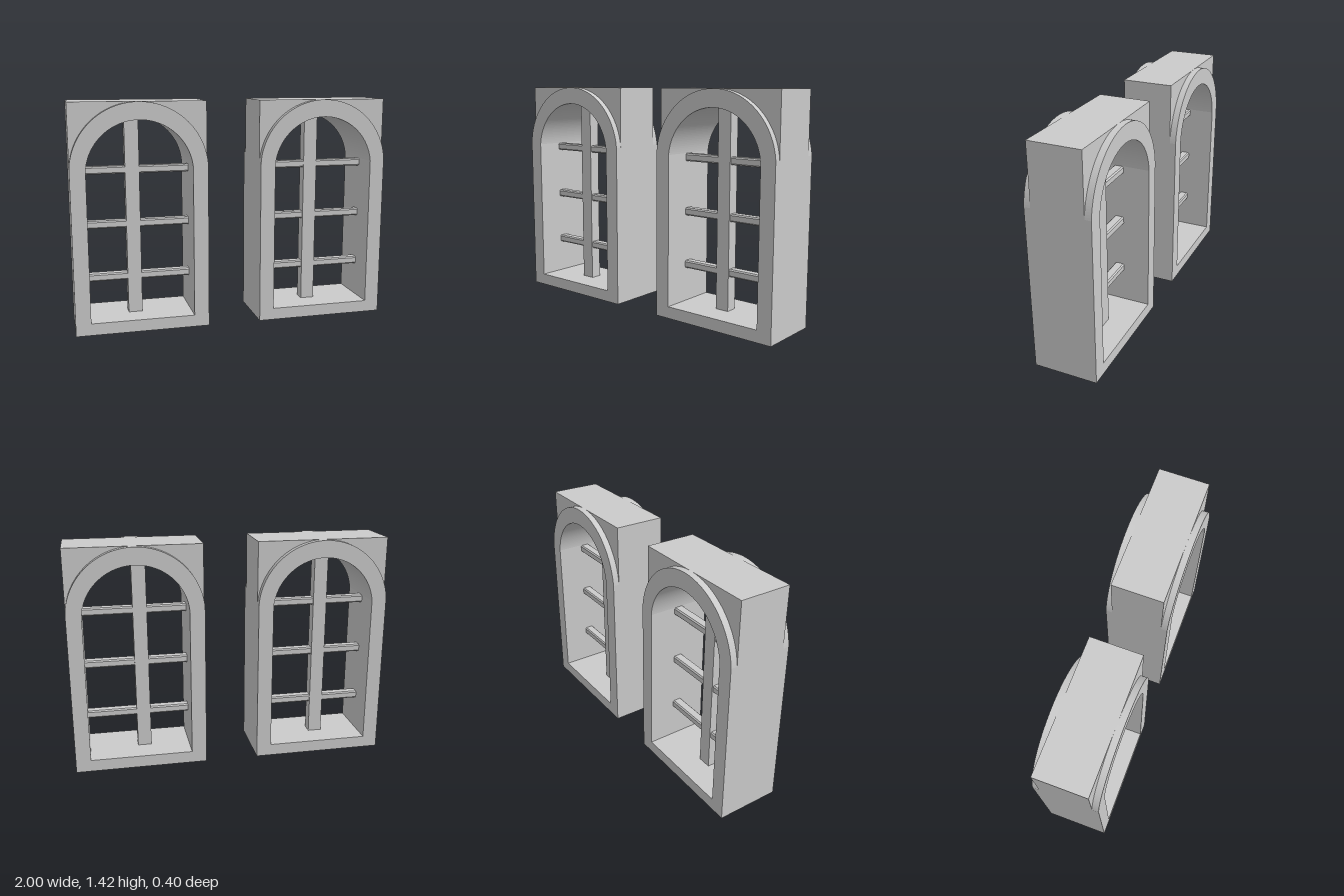
import * as THREE from 'three';

const HALF = 0.416, HEIGHT = 1.417, DEPTH = 0.4, CORE = 0.32;
const INNER = 0.322, SILL = 0.075;

const material = new THREE.MeshStandardMaterial({ color: 0xcccccc, flatShading: true });

// Upright sides closed by a circular arc from the spring line to the crown
function archPath(PathType, half, bottom, spring, crown) {
  const rise = crown - spring;
  const r = (half * half + rise * rise) / (2 * rise);
  const cy = crown - r;
  const a = Math.asin((spring - cy) / r);
  const p = new PathType();
  p.moveTo(-half, bottom);
  p.lineTo(half, bottom);
  p.lineTo(half, spring);
  p.absarc(0, cy, r, a, Math.PI - a, false);
  p.lineTo(-half, bottom);
  return p;
}

const opening = () => archPath(THREE.Path, INNER, SILL, 1.02, 1.31);

function extrude(name, shape, z0, depth) {
  const geometry = new THREE.ExtrudeGeometry(shape, { depth, bevelEnabled: false, curveSegments: 40 });
  const mesh = new THREE.Mesh(geometry, material);
  mesh.name = name;
  mesh.position.z = z0;
  return mesh;
}

// Bar with softened edges, running along x
function glazingBar(y) {
  const h = 0.024, d = 0.031, c = 0.008;
  const s = new THREE.Shape([
    [-d + c, -h], [d - c, -h], [d, -h + c], [d, h - c],
    [d - c, h], [-d + c, h], [-d, h - c], [-d, -h + c],
  ].map(([x, v]) => new THREE.Vector2(x, v)));
  const length = 2 * INNER;
  const geometry = new THREE.ExtrudeGeometry(s, { depth: length, bevelEnabled: false });
  geometry.translate(0, 0, -length / 2).rotateY(Math.PI / 2);
  const bar = new THREE.Mesh(geometry, material);
  bar.name = 'glazingBar';
  bar.position.y = y;
  return bar;
}

function archedWindow(name, x) {
  const win = new THREE.Group();
  win.name = name;
  win.position.x = x;

  // Square-topped core block with the arched opening
  const block = new THREE.Shape();
  block.moveTo(-HALF, 0);
  block.lineTo(HALF, 0);
  block.lineTo(HALF, HEIGHT);
  block.lineTo(-HALF, HEIGHT);
  block.closePath();
  block.holes.push(opening());
  win.add(extrude('frameBlock', block, -CORE / 2, CORE));

  // Raised arched surrounds on the front and back
  const lip = (DEPTH - CORE) / 2;
  for (const [label, z] of [['frontSurround', CORE / 2], ['backSurround', -DEPTH / 2]]) {
    const surround = archPath(THREE.Shape, HALF, 0, 1.036, HEIGHT);
    surround.holes.push(opening());
    win.add(extrude(label, surround, z, lip));
  }

  // Upright mullion, slightly off centre
  const mullion = new THREE.Mesh(new THREE.BoxGeometry(0.088, 1.31 - SILL, 0.074), material);
  mullion.name = 'mullion';
  mullion.position.set(-0.031, (1.31 + SILL) / 2, 0);
  win.add(mullion);

  // Three cross bars
  for (const y of [0.314, 0.653, 0.994]) win.add(glazingBar(y));
  return win;
}

export function createModel() {
  const model = new THREE.Group();
  model.name = 'archedWindows';
  model.add(archedWindow('rightWindow', -0.584), archedWindow('leftWindow', 0.584));
  return model;
}
